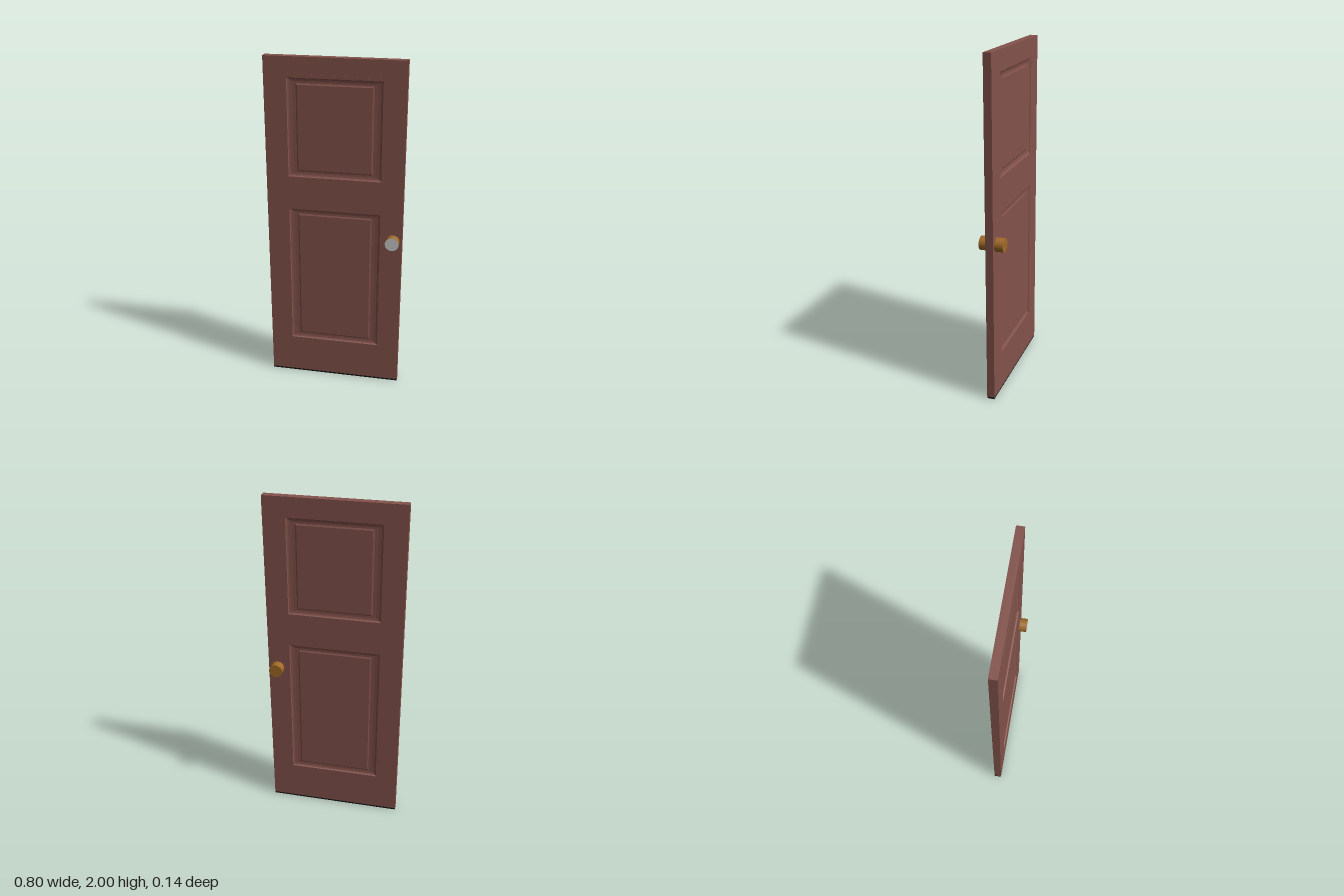
import * as THREE from 'three';

const wood = new THREE.MeshStandardMaterial({ color: 0x83524b });
const brass = new THREE.MeshStandardMaterial({ color: 0xa06a28 });
const grey = new THREE.MeshStandardMaterial({ color: 0xcccccc });
const black = new THREE.MeshStandardMaterial({ color: 0x141414 });

const HALF = 0.0225; // half the leaf thickness
const LEFT = -0.3975, RIGHT = 0.3975, BOTTOM = 0.01, TOP = 2;
const openings = [
  { name: 'upperPanel', y0: 1.315, y1: 1.885 },
  { name: 'lowerPanel', y0: 0.245, y1: 1.115 },
];
const PANEL_HALF = 0.268;

function add(parent, name, geometry, material) {
  const mesh = new THREE.Mesh(geometry, material);
  mesh.name = name;
  parent.add(mesh);
  return mesh;
}

// Nested rectangles [insetX, insetY, z], joined by sloping faces and capped by the raised field
function panelGeometry(halfW, halfH) {
  const profile = [
    [0, 0, HALF], [0.004, 0.004, 0.016], [0.012, 0.010, 0.013],
    [0.03, 0.02, 0.011], [0.05, 0.032, 0.011], [0.058, 0.04, 0.015],
  ];
  const rings = profile.map(([ix, iy, z]) => {
    const w = halfW - ix, h = halfH - iy;
    return [[-w, -h, z], [w, -h, z], [w, h, z], [-w, h, z]];
  });
  const positions = [];
  const quad = (a, b, c, d) => positions.push(...a, ...b, ...c, ...a, ...c, ...d);
  for (let r = 0; r < rings.length - 1; r++) {
    for (let i = 0; i < 4; i++) {
      const j = (i + 1) % 4;
      quad(rings[r][i], rings[r][j], rings[r + 1][j], rings[r + 1][i]);
    }
  }
  quad(...rings[rings.length - 1]);
  const geometry = new THREE.BufferGeometry();
  geometry.setAttribute('position', new THREE.Float32BufferAttribute(positions, 3));
  geometry.computeVertexNormals();
  return geometry;
}

function rectangle(PathType, x0, y0, x1, y1) {
  const path = new PathType();
  path.moveTo(x0, y0);
  path.lineTo(x1, y0);
  path.lineTo(x1, y1);
  path.lineTo(x0, y1);
  path.closePath();
  return path;
}

export function createModel() {
  const door = new THREE.Group();
  door.name = 'door';
  const leaf = new THREE.Group();
  leaf.name = 'leaf';
  leaf.position.set(-0.0015, 0, 0.002);
  door.add(leaf);

  // Stiles and rails, cut through where the panels sit
  const outline = rectangle(THREE.Shape, LEFT, BOTTOM, RIGHT, TOP);
  for (const o of openings) {
    outline.holes.push(rectangle(THREE.Path, -PANEL_HALF, o.y0, PANEL_HALF, o.y1));
  }
  const frame = new THREE.ExtrudeGeometry(outline, { depth: 2 * HALF, bevelEnabled: false });
  frame.translate(0, 0, -HALF);
  add(leaf, 'frame', frame, wood);

  // Recessed panels on both faces
  for (const o of openings) {
    const geometry = panelGeometry(PANEL_HALF, (o.y1 - o.y0) / 2);
    for (const side of ['Front', 'Back']) {
      const panel = add(leaf, o.name + side, geometry, wood);
      panel.position.y = (o.y0 + o.y1) / 2;
      if (side === 'Back') panel.rotation.y = Math.PI;
    }
  }

  // Slim moulding above the upper front panel
  const moulding = add(leaf, 'topMoulding', new THREE.BoxGeometry(0.595, 0.02, 0.003), wood);
  moulding.position.set(0, 1.895, HALF);

  // Dark sweep under the leaf
  const sweep = add(leaf, 'bottomSweep', new THREE.BoxGeometry(RIGHT - LEFT, BOTTOM, 2 * HALF - 0.002), black);
  sweep.position.y = BOTTOM / 2;

  // Round knobs on both faces, the front one with a grey end
  const knobs = [
    { name: 'frontKnob', z0: 0.02, z1: 0.069, materials: [brass, grey, brass] },
    { name: 'backKnob', z0: -0.071, z1: -0.018, materials: [brass, brass, brass] },
  ];
  for (const k of knobs) {
    const geometry = new THREE.CylinderGeometry(0.04, 0.04, k.z1 - k.z0, 32);
    geometry.rotateX(Math.PI / 2);
    const knob = add(door, k.name, geometry, k.materials);
    knob.position.set(0.342, 0.957, (k.z0 + k.z1) / 2);
  }
  return door;
}
